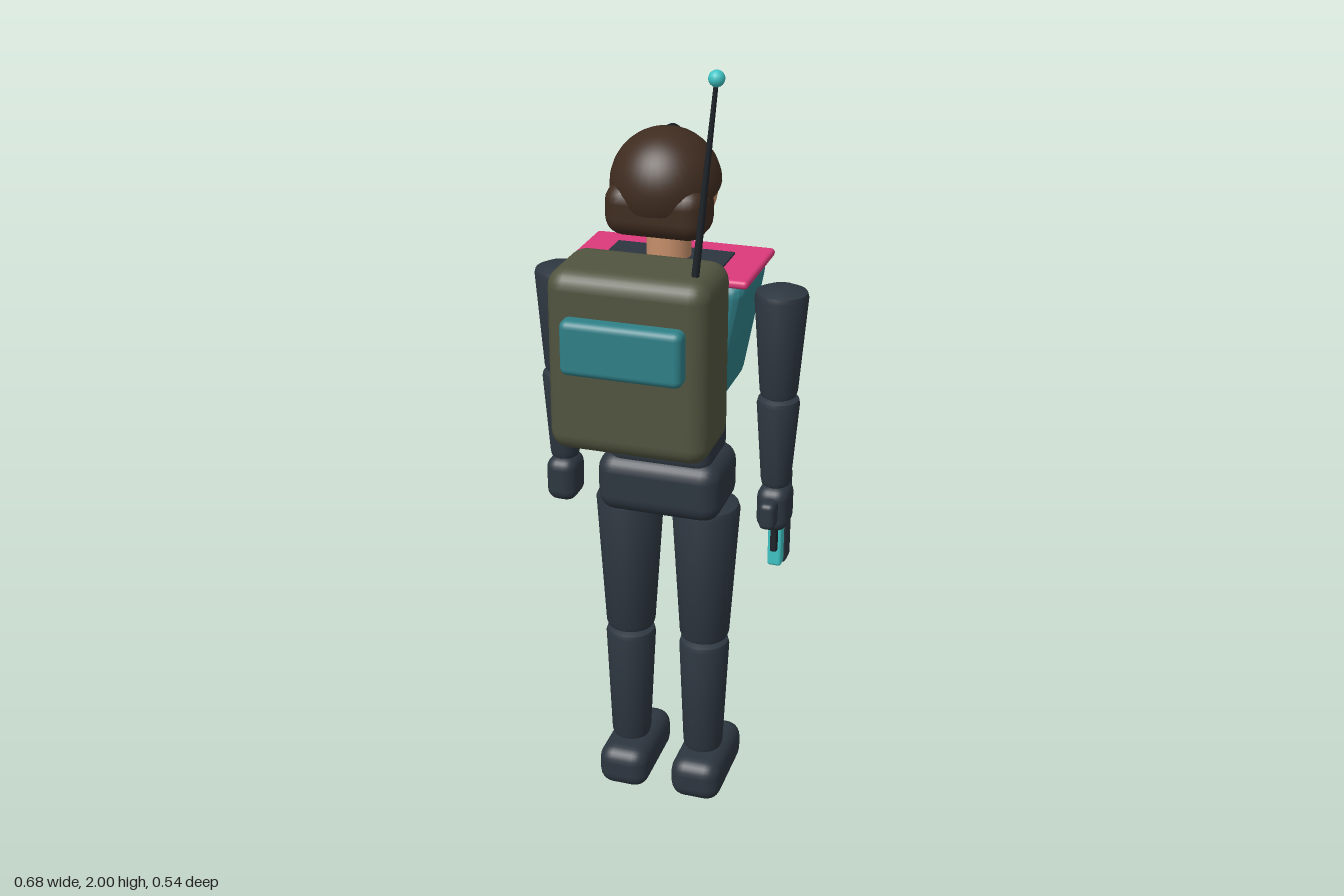
import * as THREE from 'three';
import { toCreasedNormals } from 'three/addons/utils/BufferGeometryUtils.js';
import { RoundedBoxGeometry } from 'three/addons/geometries/RoundedBoxGeometry.js';

const paint = (name, color) => {
  const m = new THREE.MeshStandardMaterial({ color });
  m.name = name;
  return m;
};

export function createModel() {
  const suit = paint('dark suit', 0x2d3640);
  const black = paint('black', 0x1e242a);
  const teal = paint('teal', 0x2f8088);
  const bright = paint('bright cyan', 0x40c4c4);
  const pink = paint('pink', 0xdb3a7a);
  const olive = paint('olive', 0x51543f);
  const sage = paint('light olive', 0x6c745a);
  const hair = paint('brown hair', 0x3f2c20);
  const skin = paint('skin', 0xc68f6a);
  const pale = paint('pale cyan', 0xb5dde0);

  const model = new THREE.Group();
  model.name = 'fieldMedic';

  const add = (name, geometry, material, x, y, z) => {
    const mesh = new THREE.Mesh(geometry, material);
    mesh.name = name;
    mesh.position.set(x, y, z);
    model.add(mesh);
    return mesh;
  };
  // Rounded box given by its size and centre
  const box = (name, mat, w, h, d, x, y, z, r = 0.02) =>
    add(name, new RoundedBoxGeometry(w, h, d, 3, Math.min(r, w / 2.1, h / 2.1, d / 2.1)), mat, x, y, z);
  // Tapered limb with shallow domed ends
  const limb = (name, y0, y1, r0, r1, x, z) => {
    const profile = [
      [0, y0 - 0.015], [r0 * 0.55, y0 - 0.011], [r0 * 0.93, y0], [r0, y0 + 0.012],
      [r1, y1 - 0.012], [r1 * 0.95, y1], [r1 * 0.55, y1 + 0.011], [0, y1 + 0.015],
    ].map(([r, y]) => new THREE.Vector2(r, y));
    add(name, toCreasedNormals(new THREE.LatheGeometry(profile, 24), 0.7), suit, x, 0, z);
  };
  const ellipsoid = (name, mat, rx, ry, rz, x, y, z) =>
    add(name, new THREE.SphereGeometry(1, 28, 20), mat, x, y, z).scale.set(rx, ry, rz);

  // Arms and legs
  for (const s of [-1, 1]) {
    const side = s > 0 ? 'left' : 'right';
    box(side + 'Boot', suit, 0.135, 0.115, 0.26, s * 0.1, 0.0575, -0.133, 0.04);
    limb(side + 'LowerLeg', 0.13, 0.455, 0.052, 0.065, s * 0.1, -0.1);
    limb(side + 'UpperLeg', 0.47, 0.85, 0.064, 0.086, s * 0.1, -0.1);
    limb(side + 'UpperArm', 1.165, 1.425, 0.046, 0.064, s * 0.275, -0.105);
    limb(side + 'LowerArm', 0.93, 1.155, 0.037, 0.052, s * 0.275, -0.105);
    box(side + 'Hand', suit, 0.08, 0.118, 0.1, s * 0.275, 0.87, -0.105, 0.03);
  }

  // Trunk
  box('hips', suit, 0.315, 0.155, 0.21, 0, 0.913, -0.097, 0.045);
  box('waist', suit, 0.26, 0.22, 0.185, 0, 1.07, -0.102, 0.035);
  const chest = new RoundedBoxGeometry(0.43, 0.315, 0.25, 3, 0.035);
  const p = chest.attributes.position;
  for (let i = 0; i < p.count; i++) {
    const t = 0.5 - p.getY(i) / 0.315; // 0 at the top, 1 at the bottom
    p.setX(i, p.getX(i) * (1 - 0.27 * t));
    p.setZ(i, p.getZ(i) * (1 - 0.06 * t));
  }
  add('chestVest', toCreasedNormals(chest, 0.6), teal, 0, 1.3125, -0.105);
  box('collarPlate', pink, 0.45, 0.02, 0.258, 0, 1.475, -0.106, 0.009);
  add('collarInset', new THREE.BoxGeometry(0.29, 0.008, 0.11), suit, 0, 1.486, -0.105);

  // Cross on the vest
  box('crossUpright', pale, 0.03, 0.112, 0.022, 0, 1.37, -0.238, 0.006);
  box('crossBar', pale, 0.114, 0.032, 0.02, 0, 1.37, -0.238, 0.006);

  // Belt canisters
  for (const x of [-0.117, -0.058, 0])
    add('beltCanister', new THREE.CylinderGeometry(0.023, 0.023, 0.085, 16), sage, x, 0.933, -0.247);

  // Neck, head and hair
  add('neck', new THREE.CylinderGeometry(0.053, 0.053, 0.11, 24), skin, 0, 1.525, -0.102);
  ellipsoid('head', skin, 0.112, 0.13, 0.117, 0, 1.66, -0.11);
  hair.side = THREE.DoubleSide;
  add('hairCap', new THREE.SphereGeometry(0.13, 32, 16, 0, Math.PI * 2, 0, Math.PI * 0.5),
    hair, 0, 1.67, -0.076).rotation.x = 0.38;
  box('hairBack', hair, 0.244, 0.125, 0.13, 0, 1.624, -0.026, 0.045);

  // Face
  for (const s of [-1, 1]) {
    ellipsoid('eye', black, 0.012, 0.011, 0.007, s * 0.04, 1.673, -0.217);
    const brow = box('brow', hair, 0.05, 0.012, 0.016, s * 0.034, 1.703, -0.214, 0.005);
    brow.rotation.y = s * 0.15;
  }
  box('mouth', black, 0.046, 0.009, 0.012, 0, 1.6, -0.208, 0.004);

  // Headset band over the crown, running front to back
  const band = add('headsetBand', new THREE.TorusGeometry(0.132, 0.008, 8, 40, Math.PI * 1.05),
    black, 0, 1.66, -0.095);
  band.rotation.set(0, Math.PI / 2, 0);
  band.rotateZ(-0.16);

  // Backpack with pocket and aerial
  box('backpack', olive, 0.382, 0.44, 0.214, 0, 1.32, 0.127, 0.045);
  box('backpackPocket', teal, 0.287, 0.132, 0.06, 0, 1.373, 0.24, 0.018);
  const base = new THREE.Vector3(0.142, 1.52, 0.165);
  const tip = new THREE.Vector3(0.191, 1.982, 0.184);
  const rod = add('aerial', new THREE.CylinderGeometry(0.005, 0.009, base.distanceTo(tip), 10), black, 0, 0, 0);
  rod.position.lerpVectors(base, tip, 0.5);
  rod.quaternion.setFromUnitVectors(new THREE.Vector3(0, 1, 0), tip.clone().sub(base).normalize());
  add('aerialTip', new THREE.SphereGeometry(0.018, 16, 12), bright, tip.x, tip.y, tip.z);

  // Handheld tool pointing down from the left hand
  box('toolBody', suit, 0.044, 0.25, 0.058, 0.274, 0.807, -0.174, 0.012);
  box('toolGrip', suit, 0.04, 0.07, 0.15, 0.274, 0.872, -0.092, 0.014);
  box('toolCell', bright, 0.036, 0.112, 0.035, 0.274, 0.745, -0.132, 0.008);
  box('toolTrigger', black, 0.018, 0.08, 0.02, 0.274, 0.775, -0.112, 0.006);

  return model;
}
